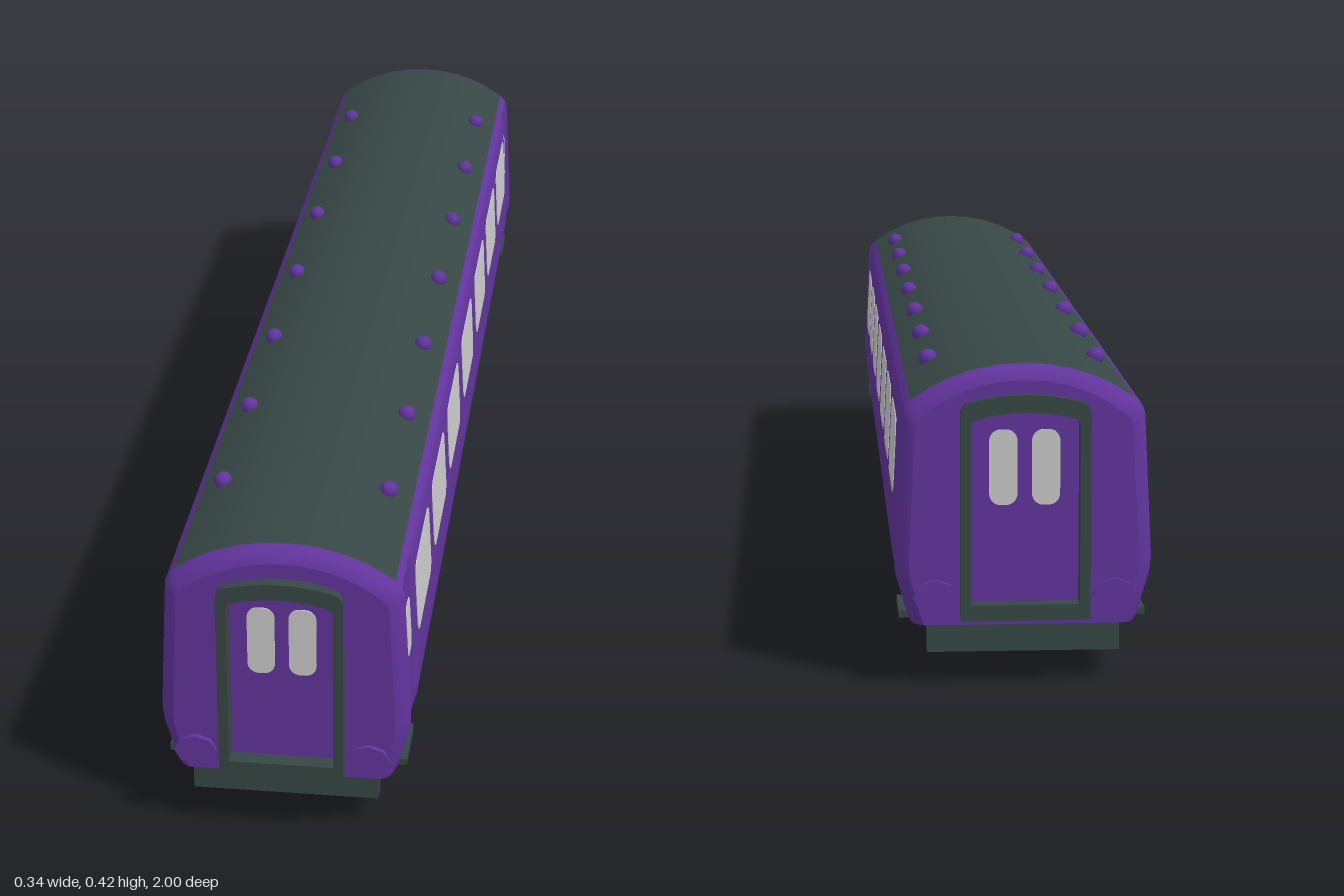
import * as THREE from 'three';
import { toCreasedNormals } from 'three/addons/utils/BufferGeometryUtils.js';

// Half cross-section: lower sill up to the gutter, then the roof arc to the crown
const SIDE = [[0.148, 0.078], [0.153, 0.088], [0.169, 0.145], [0.1705, 0.165], [0.161, 0.355], [0.157, 0.366], [0.148, 0.375]];
const ROOF = [[0.148, 0.375], [0.122, 0.392], [0.095, 0.405], [0.064, 0.415], [0.032, 0.421], [0, 0.4225]];
const CAP_Z = 0.946;
const mirror = pts => pts.map(([x, y]) => [-x, y]).reverse();

// Skin between stations [z, points]; points run counter-clockwise seen from +z
function loft(stations) {
  const pos = [], idx = [], n = stations[0][1].length;
  for (const [z, pts] of stations) for (const [x, y] of pts) pos.push(x, y, z);
  for (let i = 0; i < stations.length - 1; i++) {
    for (let j = 0; j < n - 1; j++) {
      const a = i * n + j, b = a + n, c = b + 1, d = a + 1;
      idx.push(a, d, c, a, c, b);
    }
  }
  const g = new THREE.BufferGeometry();
  g.setAttribute('position', new THREE.Float32BufferAttribute(pos, 3));
  g.setIndex(idx);
  return toCreasedNormals(g, 0.6);
}

function roundedRect(w, h, r) {
  const s = new THREE.Shape(), x = w / 2, y = h / 2;
  s.absarc(x - r, y - r, r, 0, Math.PI / 2);
  s.absarc(-x + r, y - r, r, Math.PI / 2, Math.PI);
  s.absarc(-x + r, -y + r, r, Math.PI, Math.PI * 1.5);
  s.absarc(x - r, -y + r, r, Math.PI * 1.5, Math.PI * 2);
  return s;
}

// Doorway outline with rounded shoulders and a slightly bowed top
function archPath(Type, w, y0, y1, r) {
  const p = new Type();
  p.moveTo(-w, y0);
  p.lineTo(w, y0);
  p.lineTo(w, y1 - 0.012 - r);
  p.quadraticCurveTo(w, y1 - 0.012, w - r, y1 - 0.009);
  p.quadraticCurveTo(0, y1 + 0.009, -w + r, y1 - 0.009);
  p.quadraticCurveTo(-w, y1 - 0.012, -w, y1 - 0.012 - r);
  p.closePath();
  return p;
}

const extrude = (shape, depth) => new THREE.ExtrudeGeometry(shape, { depth, bevelEnabled: false, curveSegments: 8 });

export function createModel() {
  const paint = (name, color) => {
    const m = new THREE.MeshStandardMaterial({ color });
    m.name = name;
    return m;
  };
  const purple = paint('purple paint', 0x62349d);
  const dark = paint('dark slate', 0x364745);
  const glass = paint('pale glass', 0xcbcbcb);

  const model = new THREE.Group();
  model.name = 'railwayCarriage';
  const add = (parent, name, geo, mat, x = 0, y = 0, z = 0) => {
    const m = new THREE.Mesh(geo, mat);
    m.name = name;
    m.position.set(x, y, z);
    parent.add(m);
    return m;
  };

  // Roof and floor
  const roof = [...ROOF, ...mirror(ROOF).slice(1)];
  add(model, 'roof', loft([[-CAP_Z, roof], [CAP_Z, roof]]), dark);
  const floor = [[-0.148, 0.078], [0.148, 0.078]];
  add(model, 'floor', loft([[-CAP_Z, floor], [CAP_Z, floor]]), dark);

  // Wall, stepped inwards at the end doors
  const inset = d => SIDE.map(([x, y]) => [y < 0.36 ? x - d : x, y]);
  const wall = loft([[-CAP_Z, 0], [-0.943, 0.005], [-0.855, 0.005], [-0.85, 0],
    [0.85, 0], [0.855, 0.005], [0.943, 0.005], [CAP_Z, 0]].map(([z, d]) => [z, inset(d)]));

  // Rounded end cap
  const loop = [...SIDE, ...ROOF.slice(1), ...mirror(ROOF).slice(1), ...mirror(SIDE).slice(1)];
  loop.push(loop[0]);
  const shrink = d => loop.map(([x, y]) => [x * (1 - d / 0.17), y - d * Math.max(0, (y - 0.12) / 0.3)]);
  const capStations = [[CAP_Z, 0], [0.954, 0.002], [0.961, 0.006], [0.966, 0.011], [0.97, 0.019]];
  const endCap = loft(capStations.map(([z, d]) => [z, shrink(d)]));
  const endFace = new THREE.ShapeGeometry(new THREE.Shape(shrink(0.019).slice(0, -1).map(p => new THREE.Vector2(...p))));

  // Gangway frames and door
  const frame = (g, depth) => {
    const s = archPath(THREE.Shape, 0.085 - g, 0.09 + g, 0.389 - g, 0.016);
    s.holes.push(archPath(THREE.Path, 0.071, 0.111, 0.366, 0.006));
    return extrude(s, depth);
  };
  const bellows = frame(0.007, 0.018), flange = frame(0, 0.012);
  const door = new THREE.ShapeGeometry(archPath(THREE.Shape, 0.072, 0.11, 0.367, 0.006));
  const doorWindow = extrude(roundedRect(0.037, 0.1, 0.015), 0.002);

  // Wall glazing
  const window = extrude(roundedRect(0.187, 0.106, 0.02), 0.003);
  const smallWindow = extrude(roundedRect(0.044, 0.077, 0.012), 0.003);
  const lean = Math.atan(0.05);
  const wallX = y => 0.1705 - (y - 0.165) * 0.05;

  // Equipment box under the floor with sloping outer sides
  const boxShape = pts => new THREE.Shape(pts.map(p => new THREE.Vector2(...p)));
  const centreBox = boxShape([[0.135, 0.08], [-0.135, 0.08], [-0.117, 0.01], [-0.106, 0], [0.106, 0], [0.117, 0.01]]);
  add(model, 'centreEquipmentBox', extrude(centreBox, 0.42), dark, 0, 0, -0.21);
  const sideBox = extrude(boxShape([[0.02, 0.08], [0.02, 0.02], [0.107, 0.02], [0.113, 0.027], [0.127, 0.08]]), 0.19);
  const slope = Math.atan(18 / 70);

  for (const turn of [0, Math.PI]) {
    const side = new THREE.Group();
    side.name = turn ? 'rightSide' : 'leftSide';
    side.rotation.y = turn;
    model.add(side);
    add(side, 'wall', wall, purple);
    const pane = (geo, y, z, back) => {
      const p = add(side, 'window', geo, glass, wallX(y) - 0.002 - back, y, z);
      p.rotation.set(0, Math.PI / 2, lean, 'ZYX');
    };
    for (const z of [-0.735, -0.497, -0.253, 0, 0.253, 0.497, 0.735]) {
      pane(window, 0.278, z, 0);
      add(side, 'roofVent', new THREE.SphereGeometry(0.013, 12, 8), purple, 0.116, 0.398, z);
    }
    for (const z of [-0.89, 0.89]) {
      pane(smallWindow, 0.273, z, 0.005);
      add(side, 'doorStep', new THREE.BoxGeometry(0.022, 0.01, 0.09), dark, 0.153, 0.085, z);
    }
    const panel = (x, y, z, h) => {
      const p = add(side, 'equipmentPanel', new THREE.BoxGeometry(0.004, h, 0.068), purple, x, y, z);
      p.rotation.z = -slope;
    };
    for (const z of [-0.157, -0.052, 0.052, 0.157]) panel(0.1252, 0.042, z, 0.055);
    for (const s of [-1, 1]) {
      add(side, 'sideEquipmentBox', sideBox, dark, 0, 0, s * 0.345 - 0.095);
      for (const z of [0.302, 0.39]) panel(0.1195, 0.0515, s * z, 0.042);
    }

    const end = new THREE.Group();
    end.name = turn ? 'backEnd' : 'frontEnd';
    end.rotation.y = turn;
    model.add(end);
    add(end, 'endCap', endCap, purple);
    add(end, 'endFace', endFace, purple, 0, 0, 0.97);
    add(end, 'capUnderside', loft([[CAP_Z, floor], [0.97, [[-0.131, 0.078], [0.131, 0.078]]]]), dark);
    add(end, 'gangwayBellows', bellows, dark, 0, 0, 0.97);
    add(end, 'gangwayFlange', flange, dark, 0, 0, 0.988);
    add(end, 'gangwayDoor', door, purple, 0, 0, 0.976);
    add(end, 'bufferBeam', new THREE.BoxGeometry(0.255, 0.04, 0.025), dark, 0, 0.059, 0.947);
    for (const s of [-1, 1]) {
      add(end, 'doorWindow', doorWindow, glass, s * 0.028, 0.29, 0.976);
      const stem = add(end, 'bufferStem', new THREE.CylinderGeometry(0.008, 0.008, 0.025, 8), purple, s * 0.118, 0.121, 0.98);
      stem.rotation.x = Math.PI / 2;
      const disc = add(end, 'bufferDisc', new THREE.CylinderGeometry(0.029, 0.029, 0.007, 8), purple, s * 0.118, 0.121, 0.991);
      disc.rotation.x = Math.PI / 2;
      disc.scale.z = 0.78;
    }
  }
  return model;
}
